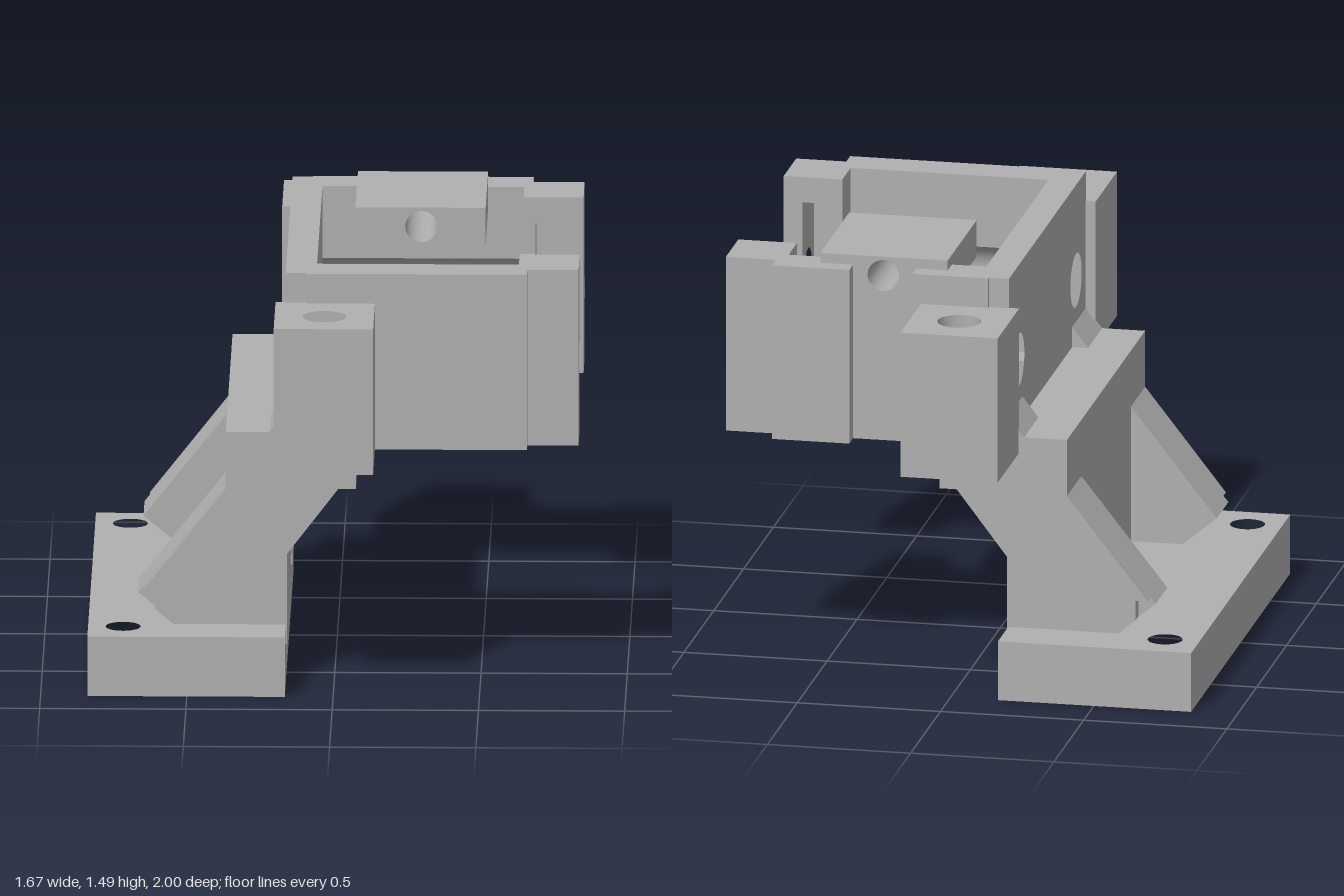
import * as THREE from 'three';
import { toCreasedNormals } from 'three/addons/utils/BufferGeometryUtils.js';

const grey = new THREE.MeshStandardMaterial({ color: 0xb0b0b0 });
grey.name = 'plain grey';

const HOLE_Y = 1.11, HOLE_Z = 0.48, BORE = 0.095;

function polygon(points, holes = []) {
  const shape = new THREE.Shape(points.map(([x, y]) => new THREE.Vector2(x, y)));
  for (const [x, y, r] of holes) shape.holes.push(new THREE.Path().absarc(x, y, r, 0, Math.PI * 2, true));
  return shape;
}

const rect = (x0, x1, y0, y1) => [[x0, y0], [x1, y0], [x1, y1], [x0, y1]];

function extrude(shape, depth) {
  const geo = new THREE.ExtrudeGeometry(shape, { depth, bevelEnabled: false, curveSegments: 16 });
  return toCreasedNormals(geo, 0.6);
}

export function createModel() {
  const model = new THREE.Group();
  model.name = 'bracket';

  const add = (name, geo) => {
    const mesh = new THREE.Mesh(geo, grey);
    mesh.name = name;
    model.add(mesh);
  };
  const box = (name, x0, x1, y0, y1, z0, z1) =>
    add(name, new THREE.BoxGeometry(x1 - x0, y1 - y0, Math.abs(z1 - z0))
      .translate((x0 + x1) / 2, (y0 + y1) / 2, (z0 + z1) / 2));
  // Profile in x,y swept between two z values
  const alongZ = (name, shape, z0, z1) =>
    add(name, extrude(shape, Math.abs(z1 - z0)).translate(0, 0, Math.min(z0, z1)));
  // Profile in z,y swept between two x values
  const alongX = (name, points, holes, x0, x1) => {
    const shape = polygon(points.map(([z, y]) => [-z, y]), holes.map(([z, y, r]) => [-z, y, r]));
    add(name, extrude(shape, x1 - x0).rotateY(Math.PI / 2).translate(x0, 0, 0));
  };
  // Profile in x,z swept between two heights
  const alongY = (name, points, holes, y0, y1) => {
    const shape = polygon(points.map(([x, z]) => [x, -z]), holes.map(([x, z, r]) => [x, -z, r]));
    add(name, extrude(shape, y1 - y0).rotateX(-Math.PI / 2).translate(0, y0, 0));
  };

  // Base plate with two screw holes
  alongY('basePlate', rect(-0.84, -0.165, -0.83, 0.83), [[-0.72, 0.69, 0.06], [-0.72, -0.69, 0.06]], 0, 0.21);

  // Upright wall between the ribs
  box('uprightWall', -0.37, -0.163, 0.2, 0.89, -0.5, 0.5);

  // Rear wall of the upper frame, bored for two rods
  alongX('frameRearWall', rect(-0.645, 0.645, 0.83, 1.45),
    [[HOLE_Z, HOLE_Y, BORE], [-HOLE_Z, HOLE_Y, BORE]], -0.165, -0.06);

  // Rib outline: sloped brace, foot tab, corbel and top gusset
  const ribUpper = [[-0.2, 0.21], [-0.2, 0.14], [-0.16, 0.14], [-0.16, 0.46], [0.015, 0.69], [0.075, 0.69],
    [0.075, 0.83], [-0.165, 0.83], [-0.165, 0.962], [-0.22, 0.89], [-0.37, 0.89], [-0.37, 0.69]];
  const rib = polygon([[-0.55, 0.21], ...ribUpper, [-0.67, 0.31]]);
  const ribNotched = polygon([[-0.55, 0.21], ...ribUpper, [-0.652, 0.33], [-0.61, 0.33], [-0.61, 0.262]]);

  // Side arm section with the rod groove on its inner face
  const armSection = (s, outer, top) => {
    const pts = [[s * 0.52, 0.83], [s * outer, 0.83], [s * outer, top], [s * 0.52, top]];
    const a = Math.acos((0.52 - HOLE_Z) / BORE);
    for (let i = 0; i <= 16; i++) {
      const t = a - (2 * a * i) / 16;
      pts.push([s * (HOLE_Z + BORE * Math.cos(t)), HOLE_Y + BORE * Math.sin(t)]);
    }
    return pts;
  };

  for (const s of [1, -1]) {
    const side = s > 0 ? 'left' : 'right';
    alongZ(side + 'Rib', rib, s * 0.415, s * 0.61);
    alongZ(side + 'RibOuter', ribNotched, s * 0.61, s * 0.655);

    // Arms; the one at the back has an outer notch
    if (s > 0) {
      alongX('leftArm', armSection(s, 0.655, 1.45), [], -0.095, 0.66);
    } else {
      alongX('rightArmRear', armSection(s, 0.655, 1.45), [], -0.095, 0.17);
      alongX('rightArmNotch', armSection(s, 0.59, 1.36), [], 0.17, 0.39);
      alongX('rightArmFront', armSection(s, 0.655, 1.45), [], 0.39, 0.66);
    }

    // End block: drilled face, open pocket and bored inner wall
    const face = rect(s * 0.38, s * 0.59, 0.83, 1.45);
    alongX(side + 'EndFace', face, [[s * HOLE_Z, HOLE_Y, 0.057]], 0.77, 0.835);
    box(side + 'EndTop', 0.63, 0.77, 1.36, 1.45, s * 0.38, s * 0.59);
    box(side + 'EndBottom', 0.63, 0.77, 0.83, 0.89, s * 0.38, s * 0.59);
    box(side + 'EndBack', 0.66, 0.77, 0.89, 1.36, s * 0.575, s * 0.59);
    alongX(side + 'EndInnerWall', face, [[s * HOLE_Z, HOLE_Y, BORE]], 0.63, 0.67);

    // Mounting ear with a blind hole in its top
    const ear = rect(-0.2, 0.14, s * 0.64, s);
    box(side + 'EarBottom', -0.2, 0.14, 0.83, 1.0, s * 0.64, s);
    alongY(side + 'Ear', ear, [[-0.03, s * 0.83, 0.075]], 1.0, 1.345);
  }

  // Top plate with a cross hole
  alongZ('topPlate', polygon(rect(0.06, 0.505, 1.355, 1.485), [[0.285, 1.418, 0.055]]), -0.59, -0.105);

  return model;
}
